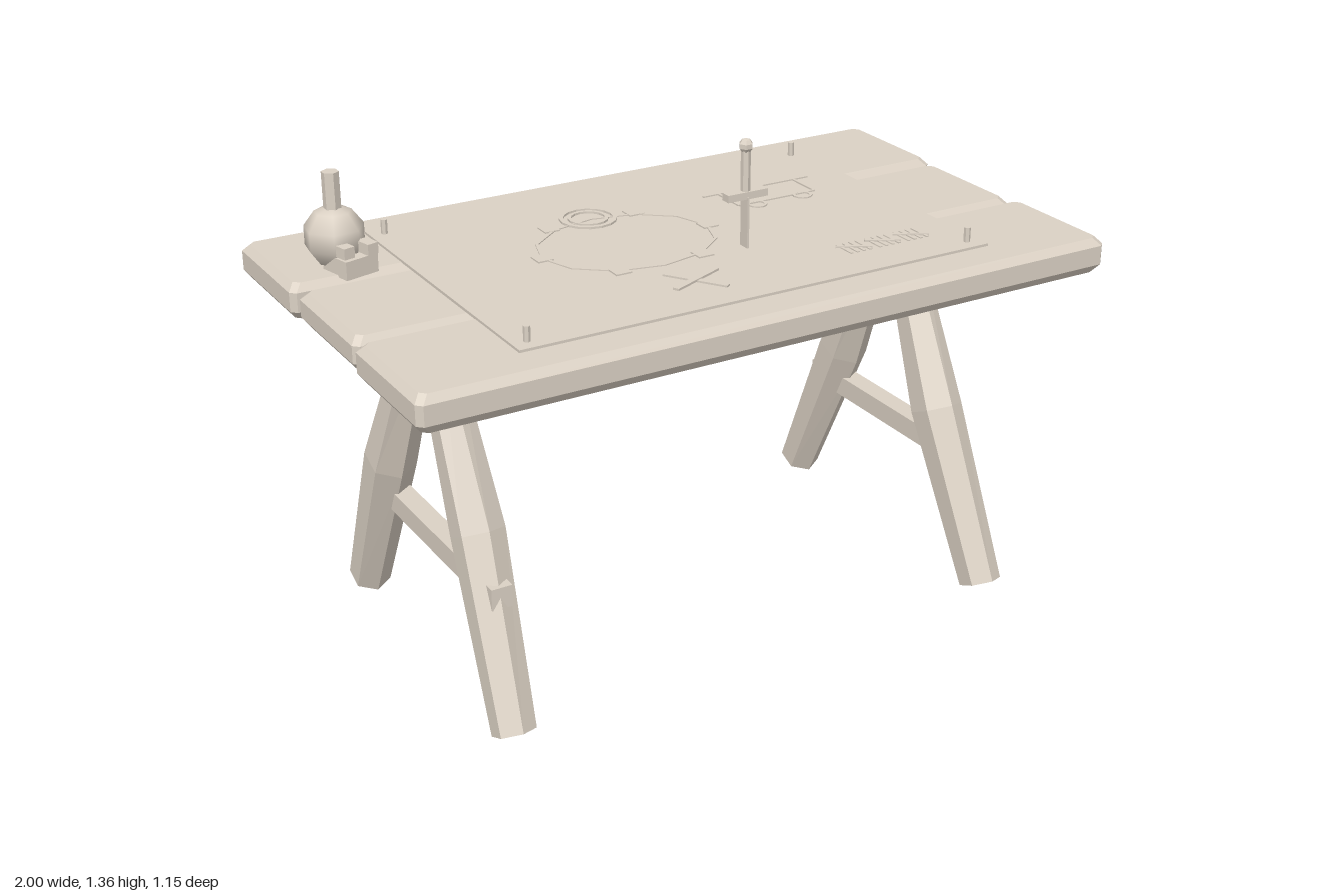
import * as THREE from 'three';

const wood = new THREE.MeshStandardMaterial({ color: 0xdbd1c4 });
wood.name = 'pale wood';
const darkWood = new THREE.MeshStandardMaterial({ color: 0x706d69 });
darkWood.name = 'dark unfinished wood';
const undersided = [wood, darkWood];
const boxSides = [wood, wood, wood, darkWood, wood, wood];

function add(parent, name, geo, x = 0, y = 0, z = 0, ry = 0, material = wood) {
  const m = new THREE.Mesh(geo, material);
  m.name = name;
  m.position.set(x, y, z);
  m.rotation.y = ry;
  parent.add(m);
  return m;
}
const box = (w, h, d) => new THREE.BoxGeometry(w, h, d);
const flat = (geo) => {
  const g = geo.index ? geo.toNonIndexed() : geo;
  g.computeVertexNormals();
  return g;
};

// Faceted solid through rings listed bottom to top; its bottom cap is group 1
function loft(rings) {
  const pos = [], n = rings[0].length, top = rings[rings.length - 1], bottom = rings[0];
  const tri = (...p) => p.forEach(v => pos.push(...v));
  for (let k = 0; k + 1 < rings.length; k++) {
    for (let i = 0; i < n; i++) {
      const j = (i + 1) % n, lo = rings[k], hi = rings[k + 1];
      tri(lo[i], lo[j], hi[j]);
      tri(lo[i], hi[j], hi[i]);
    }
  }
  for (let i = 1; i < n - 1; i++) tri(top[0], top[i], top[i + 1]);
  const start = pos.length / 3;
  for (let i = 1; i < n - 1; i++) tri(bottom[0], bottom[i + 1], bottom[i]);
  const g = new THREE.BufferGeometry();
  g.setAttribute('position', new THREE.Float32BufferAttribute(pos, 3));
  g.addGroup(0, start, 0);
  g.addGroup(start, pos.length / 3 - start, 1);
  g.computeVertexNormals();
  return g;
}

// Plank with every edge chamfered
function plankGeometry(w, h, d) {
  const c = 0.015;
  const levels = [[-h / 2, 0.018], [-h / 2 + 0.025, 0], [h / 2 - 0.02, 0], [h / 2, 0.018]];
  return loft(levels.map(([y, inset]) => {
    const x = w / 2 - inset, z = d / 2 - inset;
    return [[x - c, z], [x, z - c], [x, c - z], [x - c, -z], [c - x, -z], [-x, c - z], [-x, z - c], [c - x, z]]
      .map(([px, pz]) => [px, y, pz]);
  }));
}

// Bent six-sided leg leaning outwards along +z
function legGeometry(side, kinkX) {
  const sections = [ // x, y, z, radius along the bend, radius across
    [0.741, 0.027, 0.462, 0.06, 0.058],
    [kinkX, 0.494, 0.247, 0.077, 0.07],
    [0.722, 0.957, 0.035, 0.046, 0.05],
  ];
  return loft(sections.map(([x, y, z, rn, rx], k) => {
    const a = sections[Math.max(k - 1, 0)], b = sections[Math.min(k + 1, 2)];
    const len = Math.hypot(b[1] - a[1], b[2] - a[2]);
    const nz = (b[1] - a[1]) / len, ny = -(b[2] - a[2]) / len;
    return Array.from({ length: 6 }, (_, i) => {
      const t = i * Math.PI / 3, c = Math.cos(t) * rn;
      return [side * x + Math.sin(t) * rx, y + c * ny, z + c * nz];
    });
  }));
}

// Thin flat ring lying on the sheet
function ringGeometry(outer, inner, sides) {
  const shape = new THREE.Shape().absarc(0, 0, outer, 0, Math.PI * 2);
  shape.holes.push(new THREE.Path().absarc(0, 0, inner, 0, Math.PI * 2, true));
  const g = new THREE.ExtrudeGeometry(shape, { depth: 0.007, bevelEnabled: false, curveSegments: sides });
  g.rotateX(-Math.PI / 2);
  return flat(g);
}

// Thin strip between two points on the sheet
function strip(parent, name, x1, z1, x2, z2, w, y) {
  add(parent, name, box(Math.hypot(x2 - x1, z2 - z1), 0.006, w),
    (x1 + x2) / 2, y, (z1 + z2) / 2, -Math.atan2(z2 - z1, x2 - x1));
}

export function createModel() {
  const table = new THREE.Group();
  table.name = 'table';

  // Table top
  add(table, 'backPlank', plankGeometry(2, 0.098, 0.375), 0, 1.009, -0.386, 0, undersided);
  add(table, 'middlePlank', plankGeometry(1.98, 0.092, 0.366), 0, 1.008, 0.003, 0, undersided);
  add(table, 'frontPlank', plankGeometry(2, 0.098, 0.368), 0, 1.009, 0.389, 0, undersided);

  // Legs and stretchers
  for (const side of [-1, 1]) {
    add(table, 'frontLeg', legGeometry(side, 0.719), 0, 0, 0, 0, undersided);
    add(table, 'backLeg', legGeometry(-side, 0.742), 0, 0, 0, Math.PI, undersided);
  }
  add(table, 'rightStretcher', box(0.058, 0.06, 0.69), -0.722, 0.37, 0.037, 0, boxSides);
  add(table, 'leftStretcher', box(0.06, 0.06, 0.69), 0.755, 0.37, -0.037, 0, boxSides);

  // Map sheet and its pegs
  const map = new THREE.Group();
  map.name = 'map';
  table.add(map);
  add(map, 'sheet', box(1.38, 0.008, 0.92), 0, 1.061, 0);
  for (const x of [-0.65, 0.65]) for (const z of [-0.42, 0.42])
    add(map, 'peg', flat(new THREE.CylinderGeometry(0.009, 0.009, 0.06, 6)), x, 1.075, z);

  // Ring of markers
  const path = ringGeometry(0.253, 0.244, 6);
  path.scale(1, 1, 0.8);
  add(map, 'pathRing', path, -0.125, 1.061, -0.035);
  for (const [x, z] of [[-0.26, -0.22], [0, -0.22], [-0.375, -0.035], [0.125, -0.035], [-0.245, 0.145], [0, 0.145]])
    add(map, 'marker', box(0.045, 0.008, 0.045), x, 1.065, z);
  add(map, 'outerCircle', ringGeometry(0.08, 0.068, 8), -0.13, 1.064, -0.24);
  add(map, 'innerCircle', ringGeometry(0.056, 0.046, 8), -0.13, 1.064, -0.24);

  // Crossed strokes
  strip(map, 'crossStroke', -0.19, 0.33, -0.03, 0.26, 0.018, 1.07);
  strip(map, 'crossStroke', -0.16, 0.22, -0.06, 0.37, 0.018, 1.067);

  // Drawn cart
  strip(map, 'cartTop', 0.23, -0.23, 0.58, -0.23, 0.007, 1.066);
  strip(map, 'cartBottom', 0.28, -0.12, 0.53, -0.12, 0.007, 1.066);
  for (const x of [0.28, 0.53]) strip(map, 'cartSide', x, -0.23, x, -0.12, 0.007, 1.066);
  for (const x of [0.33, 0.48]) add(map, 'cartWheel', ringGeometry(0.028, 0.02, 6), x, 1.062, -0.105);

  // Tally marks: upright strokes crossed by a slanted one
  for (let i = 0; i < 3; i++) {
    const x = 0.325 + i * 0.092;
    strip(map, 'tallySlash', x, 0.282, x + 0.085, 0.328, 0.008, 1.067);
    for (let j = 0; j < 4; j++)
      strip(map, 'tallyStroke', x + 0.013 + j * 0.02, 0.27, x + 0.013 + j * 0.02, 0.34, 0.008, 1.065);
  }

  // Upright dagger
  const dagger = new THREE.Group();
  dagger.name = 'dagger';
  dagger.position.set(0.125, 0, 0.152);
  table.add(dagger);
  add(dagger, 'blade', box(0.006, 0.16, 0.034), 0, 1.125, 0);
  add(dagger, 'guard', box(0.122, 0.02, 0.03), 0, 1.21, 0);
  add(dagger, 'grip', flat(new THREE.CylinderGeometry(0.013, 0.013, 0.12, 6)), 0, 1.275, 0);
  add(dagger, 'pommel', flat(new THREE.SphereGeometry(0.02, 6, 5)), 0, 1.342, 0);

  // Flask with its stand
  const flask = new THREE.Group();
  flask.name = 'flask';
  flask.position.set(-0.84, 0, -0.29);
  table.add(flask);
  add(flask, 'flaskBody', new THREE.SphereGeometry(0.083, 7, 5), 0, 1.137, 0, 0.3);
  add(flask, 'flaskNeck', flat(new THREE.CylinderGeometry(0.023, 0.023, 0.11, 6)), 0, 1.255, 0);
  add(flask, 'standBlock', box(0.1, 0.05, 0.1), 0.02, 1.077, 0.05, 0.25);
  for (const x of [-0.008, 0.056]) add(flask, 'standStud', box(0.032, 0.03, 0.05), x, 1.122, 0.08, 0.25);

  return table;
}
